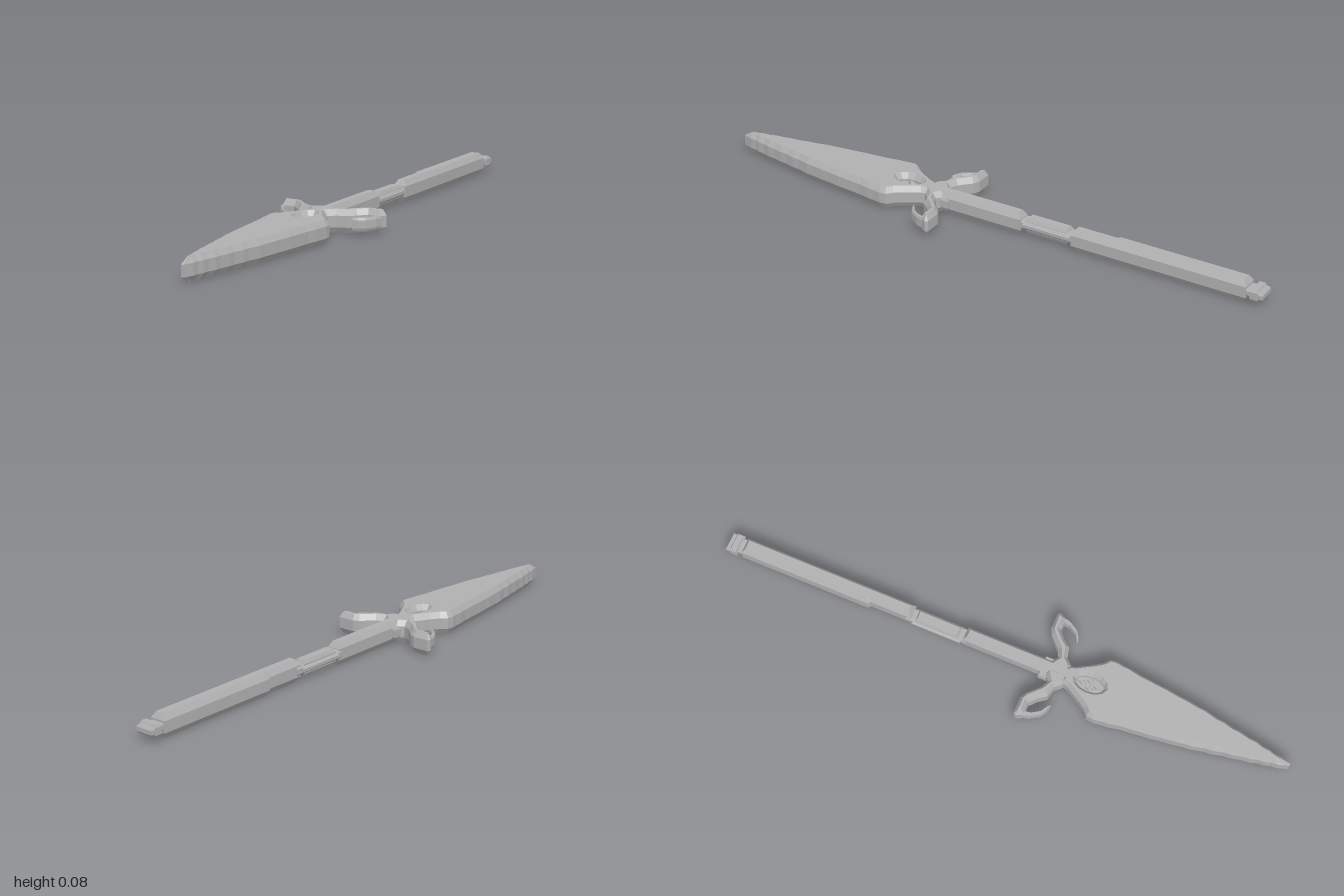
import * as THREE from 'three';

const T = 0.078; // full thickness
const steel = new THREE.MeshStandardMaterial({ color: 0xb0b0b0 });
steel.name = 'grey steel';
steel.flatShading = true;

const V = ([x, z]) => new THREE.Vector2(x, z);

// Offsets a ring towards its solid (left) side
function insetRing(ring, d) {
  const n = ring.length;
  return ring.map((p, i) => {
    const a = p.clone().sub(ring[(i + n - 1) % n]).normalize();
    const b = ring[(i + 1) % n].clone().sub(p).normalize();
    const m = new THREE.Vector2(-a.y - b.y, a.x + b.x).normalize();
    const k = Math.max(0.6, m.x * -a.y + m.y * a.x);
    return p.clone().addScaledVector(m, d / k);
  });
}

// Flat plate in x/z with chamfered rims; fix() may adjust the points of the inner outline
function plate(name, points, { y0 = 0, y1 = T, bevelY = 0.02, inset = 0.012, holes = [], fix = null } = {}) {
  const orient = (pts, clockwise) => {
    const r = pts.map(V);
    return THREE.ShapeUtils.isClockWise(r) === clockwise ? r : r.reverse();
  };
  const outer = [orient(points, false), ...holes.map((h) => orient(h, true))];
  const inner = outer.map((r) => insetRing(r, inset));
  if (fix) inner[0].forEach((p, i) => fix(p, outer[0][i]));
  const pos = [];
  const tri = (...c) => c.forEach(([p, y]) => pos.push(p.x, y, p.y));
  const levels = [[inner, y0], [outer, y0 + bevelY], [outer, y1 - bevelY], [inner, y1]];
  for (let l = 0; l < 3; l++) {
    const [lo, ya] = levels[l], [hi, yb] = levels[l + 1];
    lo.forEach((ring, r) => ring.forEach((p, i) => {
      const j = (i + 1) % ring.length;
      const a = [p, ya], b = [ring[j], ya], c = [hi[r][j], yb], d = [hi[r][i], yb];
      tri(a, d, c);
      tri(a, c, b);
    }));
  }
  const flat = inner.flat();
  for (const [a, b, c] of THREE.ShapeUtils.triangulateShape(inner[0], inner.slice(1))) {
    tri([flat[a], y0], [flat[b], y0], [flat[c], y0]);
    tri([flat[c], y1], [flat[b], y1], [flat[a], y1]);
  }
  const g = new THREE.BufferGeometry();
  g.setAttribute('position', new THREE.Float32BufferAttribute(pos, 3));
  g.computeVertexNormals();
  const mesh = new THREE.Mesh(g, steel);
  mesh.name = name;
  return mesh;
}

const rect = (x0, x1, z0, z1) => [[x0, z0], [x1, z0], [x1, z1], [x0, z1]];
const flip = (pts) => pts.map(([x, z]) => [-x, z]);
const oval = (cx, cz, rx, rz, n) => Array.from({ length: n }, (_, i) => {
  const a = (i / n) * Math.PI * 2;
  return [cx + rx * Math.cos(a), cz + rz * Math.sin(a)];
});

export function createModel() {
  const model = new THREE.Group();
  model.name = 'spear';

  // Blade: shoulder, then a chipped edge running to the tip
  const half = [[0.03, 0.215], [0.037, 0.24], [0.05, 0.262], [0.066, 0.29], [0.085, 0.318], [0.105, 0.335], [0.108, 0.36]];
  const edge = [[0.104, 0.385], [0.094, 0.45], [0.087, 0.52], [0.078, 0.59], [0.069, 0.66], [0.056, 0.73],
    [0.045, 0.79], [0.035, 0.85], [0.025, 0.9], [0.017, 0.94]];
  for (const [x, z] of edge) half.push([x, z], [x - 0.002, z + 0.025]);
  half.push([0.008, 0.985], [0.004, 1.0]);
  model.add(plate('blade', [...half, ...flip(half).reverse()], {
    holes: [oval(0, 0.306, 0.026, 0.048, 12)],
    fix: (p, o) => {
      const s = Math.sign(o.x);
      if (o.y > 0.8) p.set(s * Math.max(0.002, s * o.x - 0.012), o.y > 0.95 ? 0.95 + (o.y - 0.95) * 0.3 : o.y);
    },
  }));

  // Ornament set into the eye of the blade
  model.add(plate('eyeFloor', oval(0, 0.306, 0.03, 0.052, 12), { y0: 0.03, y1: 0.048, bevelY: 0.004, inset: 0.003 }));
  for (const [x, z] of [[0, 0.28], [0, 0.332], [0.012, 0.306], [-0.012, 0.306]]) {
    model.add(plate('eyeDiamond', oval(x, z, 0.009, 0.016, 4), { y0: 0.02, y1: 0.058, bevelY: 0.008, inset: 0.003 }));
  }

  // Guard arms and their thin hooked claws, mirrored
  const arm = [[0, 0.16], [0.022, 0.158], [0.045, 0.175], [0.07, 0.163], [0.11, 0.124], [0.13, 0.114], [0.188, 0.114],
    [0.193, 0.124], [0.18, 0.147], [0.138, 0.145], [0.112, 0.168], [0.092, 0.194], [0.055, 0.203], [0.035, 0.225], [0, 0.235]];
  const claw = [[0.168, 0.135], [0.186, 0.135], [0.178, 0.165], [0.158, 0.197], [0.138, 0.21], [0.116, 0.216],
    [0.122, 0.206], [0.146, 0.192], [0.163, 0.165]];
  for (const side of [(p) => p, flip]) {
    model.add(plate('guardArm', side(arm)));
    model.add(plate('guardClaw', side(claw), { y0: 0.018, y1: 0.06, bevelY: 0.008, inset: 0.003 }));
    model.add(plate('guardStud', side(rect(0.015, 0.036, 0.135, 0.165)), { y0: 0.018, y1: 0.06, bevelY: 0.008, inset: 0.004 }));
  }

  // Front shaft
  model.add(plate('frontShaft', rect(-0.022, 0.026, -0.138, 0.24)));

  // Grip: slim core with a raised, ridged sleeve
  model.add(plate('gripCore', rect(-0.024, 0.022, -0.345, -0.125), { y0: 0.022, y1: 0.056, bevelY: 0.008, inset: 0.006 }));
  model.add(plate('gripSleeve', rect(-0.022, 0.018, -0.31, -0.155), { y0: 0.011, y1: 0.067, bevelY: 0.012, inset: 0.006 }));
  model.add(plate('gripRidge', rect(-0.03, 0.025, -0.32, -0.145), { y0: 0.03, y1: 0.048, bevelY: 0.004, inset: 0.004 }));

  // Rear shaft, notched on one side near the grip
  model.add(plate('rearShaft', [[-0.029, -0.942], [0.027, -0.942], [0.027, -0.326], [-0.02, -0.326], [-0.02, -0.472], [-0.029, -0.48]]));

  // Pommel
  model.add(plate('pommelNeck', rect(-0.026, 0.026, -0.98, -0.93), { y0: 0.026, y1: 0.052, bevelY: 0.006, inset: 0.004 }));
  model.add(plate('pommelBlock', rect(-0.034, 0.033, -0.985, -0.957), { y0: 0.018, y1: 0.06, bevelY: 0.009, inset: 0.005 }));
  model.add(plate('pommelCap', rect(-0.032, 0.031, -1.0, -0.975), { y0: 0.026, y1: 0.052, bevelY: 0.006, inset: 0.004 }));

  return model;
}
